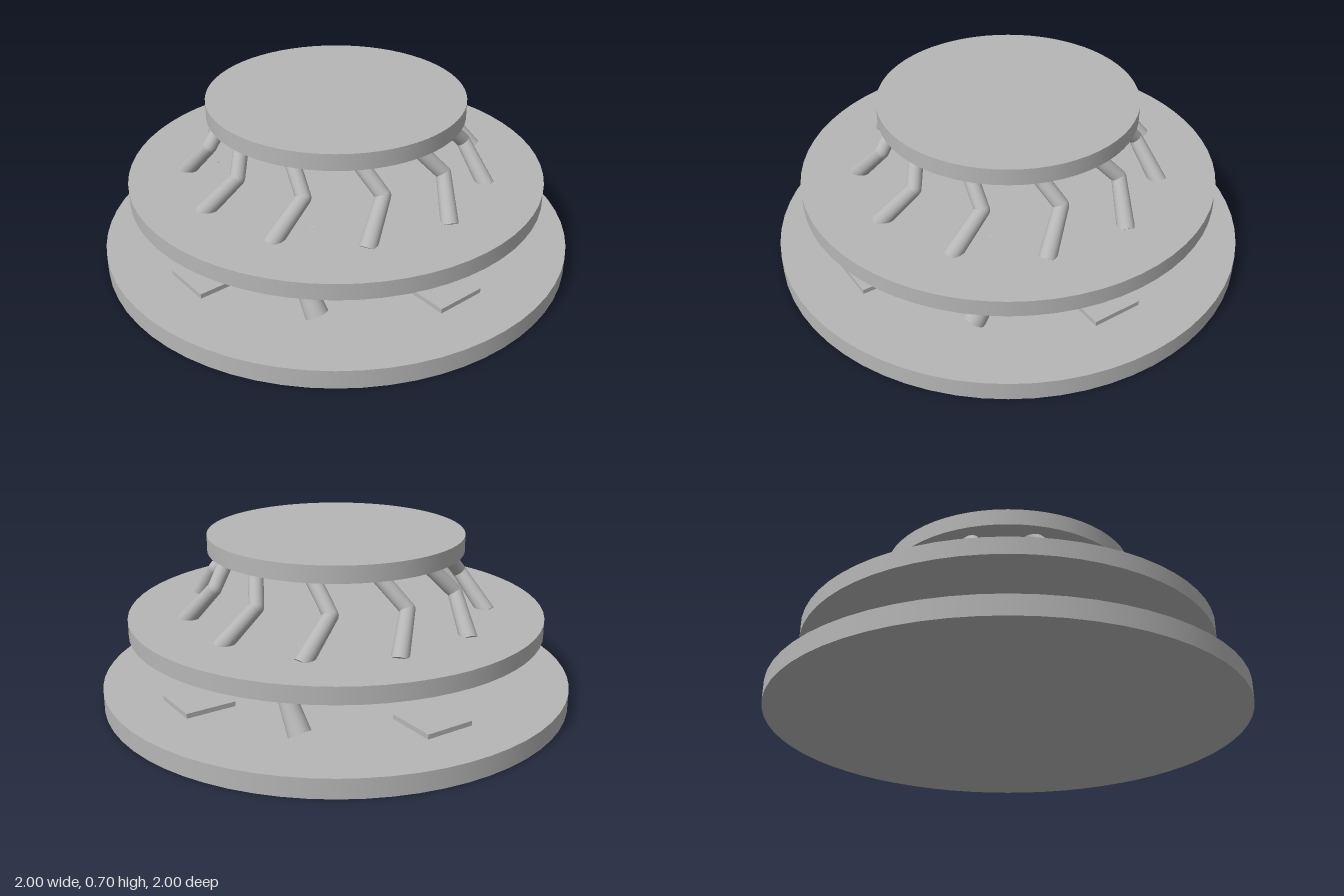
import * as THREE from 'three';

const grey = new THREE.MeshStandardMaterial({ color: 0xb6b6b6 });
grey.name = 'plain grey';

function mesh(name, geometry) {
  const m = new THREE.Mesh(geometry, grey);
  m.name = name;
  return m;
}

// Round platform between two heights
function disc(name, radius, y0, y1) {
  const m = mesh(name, new THREE.CylinderGeometry(radius, radius, y1 - y0, 64));
  m.position.y = (y0 + y1) / 2;
  return m;
}

// Jointed limb: tapered cylinders between points, with a ball at each joint
function limb(name, points, radii) {
  const g = new THREE.Group();
  g.name = name;
  const up = new THREE.Vector3(0, 1, 0);
  for (let i = 0; i < points.length - 1; i++) {
    const a = points[i], b = points[i + 1];
    const dir = b.clone().sub(a);
    const seg = mesh('segment', new THREE.CylinderGeometry(radii[i + 1], radii[i], dir.length(), 20));
    seg.position.copy(a).add(b).multiplyScalar(0.5);
    seg.quaternion.setFromUnitVectors(up, dir.normalize());
    g.add(seg);
    if (i > 0) {
      const joint = mesh('joint', new THREE.SphereGeometry(radii[i], 20, 12));
      joint.position.copy(a);
      g.add(joint);
    }
  }
  return g;
}

// Point from angle in degrees, radius and height
function polar(deg, r, y) {
  const a = THREE.MathUtils.degToRad(deg);
  return new THREE.Vector3(r * Math.cos(a), y, r * Math.sin(a));
}

export function createModel() {
  const model = new THREE.Group();
  model.name = 'tieredStand';

  // Three stacked platforms
  model.add(disc('basePlatform', 1, 0, 0.08));
  model.add(disc('middlePlatform', 0.88, 0.3, 0.37));
  model.add(disc('topPlatform', 0.54, 0.635, 0.705));

  // Square pads on the base
  for (let i = 0; i < 4; i++) {
    const pad = mesh('squarePad', new THREE.BoxGeometry(0.215, 0.03, 0.215));
    pad.position.copy(polar(i * 90, 0.665, 0.085));
    model.add(pad);
  }

  // Four lower legs, mirrored across both axes
  for (const sx of [1, -1]) {
    for (const sz of [1, -1]) {
      const path = [
        [0.49, 0.09, 0.485], [0.495, 0.15, 0.45], [0.5, 0.215, 0.415],
        [0.44, 0.275, 0.37], [0.37, 0.35, 0.32],
      ].map(([x, y, z]) => new THREE.Vector3(sx * x, y, sz * z));
      model.add(limb('lowerLeg', path, [0.047, 0.042, 0.037, 0.032, 0.03]));
    }
  }

  // Ring of bent upper legs, all swirling the same way
  const count = 11;
  for (let i = 0; i < count; i++) {
    const a = 20 + (i * 360) / count;
    model.add(limb('upperLeg',
      [polar(a + 0.5, 0.645, 0.355), polar(a - 8.5, 0.535, 0.51), polar(a + 4, 0.43, 0.66)],
      [0.036, 0.03, 0.031]));
  }
  return model;
}
